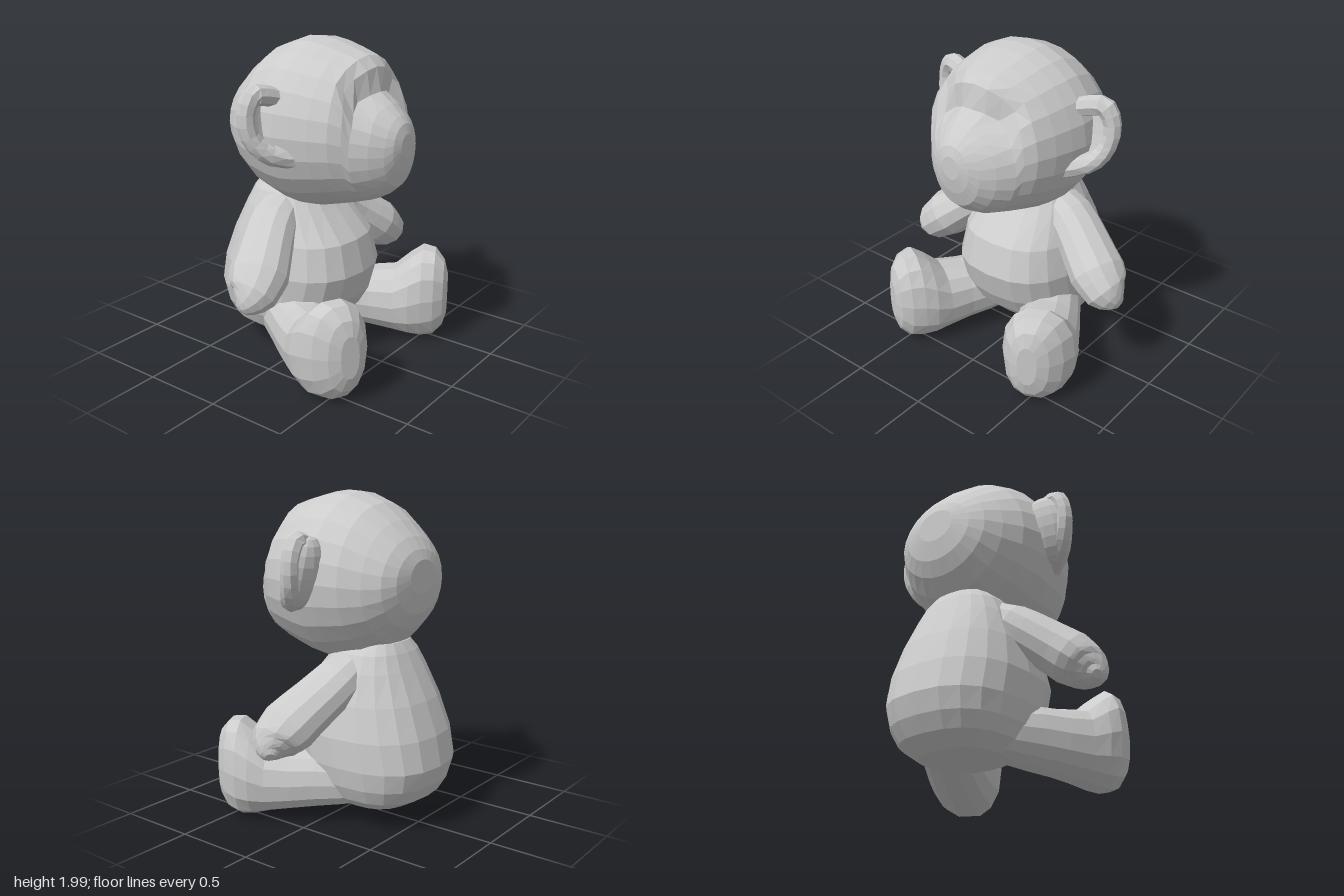
import * as THREE from 'three';

const V = (x, y, z) => new THREE.Vector3(x, y, z);
const material = new THREE.MeshStandardMaterial({ color: 0xcccccc, flatShading: true, side: THREE.DoubleSide });

// Rounded ring; u x v points along the direction of travel. pow < 1 makes it squarer.
function ring(centre, u, v, a, b, n, pow = 1) {
  const bend = (t) => Math.sign(t) * Math.abs(t) ** pow;
  return Array.from({ length: n }, (_, i) => {
    const t = (i / n) * Math.PI * 2;
    return centre.clone().addScaledVector(u, a * bend(Math.cos(t))).addScaledVector(v, b * bend(Math.sin(t)));
  });
}

// Skin a list of rings and close both ends
function skin(rings) {
  const n = rings[0].length, points = rings.flat(), index = [];
  const mean = (r) => r.reduce((s, p) => s.add(p), V(0, 0, 0)).divideScalar(n);
  const start = points.push(mean(rings[0])) - 1;
  const end = points.push(mean(rings[rings.length - 1])) - 1;
  const last = (rings.length - 1) * n;
  for (let j = 0; j < n; j++) {
    const k = (j + 1) % n;
    for (let i = 0; i < last; i += n) index.push(i + j, i + k, i + n + k, i + j, i + n + k, i + n + j);
    index.push(start, k, j, end, last + j, last + k);
  }
  const g = new THREE.BufferGeometry().setFromPoints(points);
  g.setIndex(index);
  g.computeVertexNormals();
  return g;
}

// Limb along a smooth path of [x, y, z, radius]
function limb(stations, steps, n, flatten = 1) {
  const path = new THREE.CatmullRomCurve3(stations.map((s) => V(s[0], s[1], s[2])));
  const rings = [];
  for (let i = 0; i <= steps; i++) {
    const t = i / steps, f = t * (stations.length - 1), k = Math.min(Math.floor(f), stations.length - 2);
    const r = THREE.MathUtils.lerp(stations[k][3], stations[k + 1][3], f - k);
    const d = path.getTangent(t);
    const u = V(0, 0, 1).addScaledVector(d, -d.z).normalize();
    rings.push(ring(path.getPoint(t), u, d.clone().cross(u), r, r * flatten, n));
  }
  return skin(rings);
}

// Move vertices by a rule
function reshape(geometry, rule) {
  const p = geometry.attributes.position, v = V(0, 0, 0);
  for (let i = 0; i < p.count; i++) {
    rule(v.fromBufferAttribute(p, i));
    p.setXYZ(i, v.x, v.y, v.z);
  }
  geometry.computeVertexNormals();
  return geometry;
}

function mirrored(geometry) {
  const g = geometry.clone().scale(-1, 1, 1);
  const a = g.index.array;
  for (let i = 0; i < a.length; i += 3) [a[i], a[i + 1]] = [a[i + 1], a[i]];
  g.computeVertexNormals();
  return g;
}

export function createModel() {
  const model = new THREE.Group();
  const add = (name, geometry) => {
    const mesh = new THREE.Mesh(geometry, material);
    mesh.name = name;
    model.add(mesh);
  };
  const addPair = (name, geometry) => {
    add('left' + name, geometry);
    add('right' + name, mirrored(geometry));
  };

  // Head with muzzle: z, bottom, top, half width
  const head = skin([
    [-0.505, 1.42, 1.62, 0.13], [-0.48, 1.3, 1.68, 0.24], [-0.43, 1.21, 1.75, 0.32], [-0.34, 1.11, 1.84, 0.39],
    [-0.22, 1.035, 1.935, 0.455], [-0.06, 0.99, 1.995, 0.495], [0.04, 0.975, 2, 0.495], [0.14, 0.99, 1.985, 0.475],
    [0.25, 1.02, 1.955, 0.445], [0.36, 1.05, 1.92, 0.4], [0.42, 1.07, 1.86, 0.35], [0.45, 1.08, 1.72, 0.32],
    [0.53, 1.125, 1.66, 0.245], [0.59, 1.18, 1.6, 0.17], [0.62, 1.27, 1.56, 0.12], [0.637, 1.36, 1.5, 0.06],
  ].map(([z, lo, hi, w]) => ring(V(0, (lo + hi) / 2, z), V(1, 0, 0), V(0, 1, 0), w, (hi - lo) / 2, 24)));
  // Shallow eye hollows under the brow
  add('head', reshape(head, (v) => {
    if (v.z < 0.3) return;
    const dx = (Math.abs(v.x) - 0.2) / 0.1, dy = (v.y - 1.72) / 0.11;
    v.z -= 0.07 * Math.exp(-dx * dx - dy * dy);
  }));

  // Body: y, back, front, half width
  add('body', skin([
    [0.095, -0.33, -0.05, 0.14], [0.12, -0.44, 0.04, 0.25], [0.19, -0.56, 0.14, 0.34], [0.28, -0.615, 0.23, 0.385],
    [0.4, -0.65, 0.3, 0.41], [0.58, -0.615, 0.35, 0.415], [0.78, -0.54, 0.3, 0.375], [0.96, -0.45, 0.14, 0.31],
    [1.06, -0.4, 0.06, 0.26], [1.12, -0.36, 0, 0.2],
  ].map(([y, back, front, w]) =>
    ring(V(0, y, (back + front) / 2), V(0, 0, 1), V(1, 0, 0), (front - back) / 2, w, 20, 0.8))));

  // Arms
  addPair('Arm', limb([
    [0.15, 0.98, -0.13, 0.13], [0.3, 0.9, -0.11, 0.16], [0.45, 0.79, -0.05, 0.17], [0.6, 0.67, 0.02, 0.185],
    [0.69, 0.595, 0.045, 0.155], [0.745, 0.55, 0.03, 0.09], [0.77, 0.53, 0.01, 0.03],
  ], 12, 12, 0.86));

  // Legs with upturned feet: distance, bottom, top, half width, sideways shift
  const along = V(0.45, 0, 0.893), up = V(0, 1, 0), across = up.clone().cross(along);
  addPair('Leg', skin([
    [-0.1, 0.13, 0.38, 0.13, 0], [0.05, 0.1, 0.43, 0.17, -0.01], [0.2, 0.08, 0.45, 0.19, -0.01],
    [0.35, 0.06, 0.45, 0.2, 0], [0.5, 0.035, 0.47, 0.215, 0], [0.6, 0.01, 0.56, 0.23, 0],
    [0.68, 0, 0.62, 0.22, 0], [0.76, 0.02, 0.61, 0.18, -0.015], [0.82, 0.09, 0.54, 0.12, -0.03],
    [0.845, 0.18, 0.45, 0.06, -0.04],
  ].map(([s, lo, hi, w, shift]) => {
    const centre = V(0.2, (lo + hi) / 2, -0.13).addScaledVector(along, s).addScaledVector(across, shift);
    return ring(centre, across, up, w, (hi - lo) / 2, 14, 0.87);
  })));

  // Ears: a hollow bowl with a thick curled rim
  addPair('EarRim', limb([
    [0.38, 1.69, 0.03, 0.05], [0.48, 1.72, 0, 0.06], [0.57, 1.73, -0.02, 0.06], [0.62, 1.63, -0.03, 0.052],
    [0.6, 1.49, -0.01, 0.055], [0.53, 1.4, 0.05, 0.06], [0.4, 1.36, 0.14, 0.06],
  ], 14, 8));
  const bowl = reshape(new THREE.SphereGeometry(1, 14, 10), (v) => {
    v.z = v.z > 0 ? -0.035 * v.z : 0.11 * v.z;
    v.x *= 0.17;
    v.y *= 0.22;
  });
  bowl.rotateX(-0.25).translate(0.475, 1.55, 0.005);
  addPair('EarBowl', bowl);

  return model;
}
